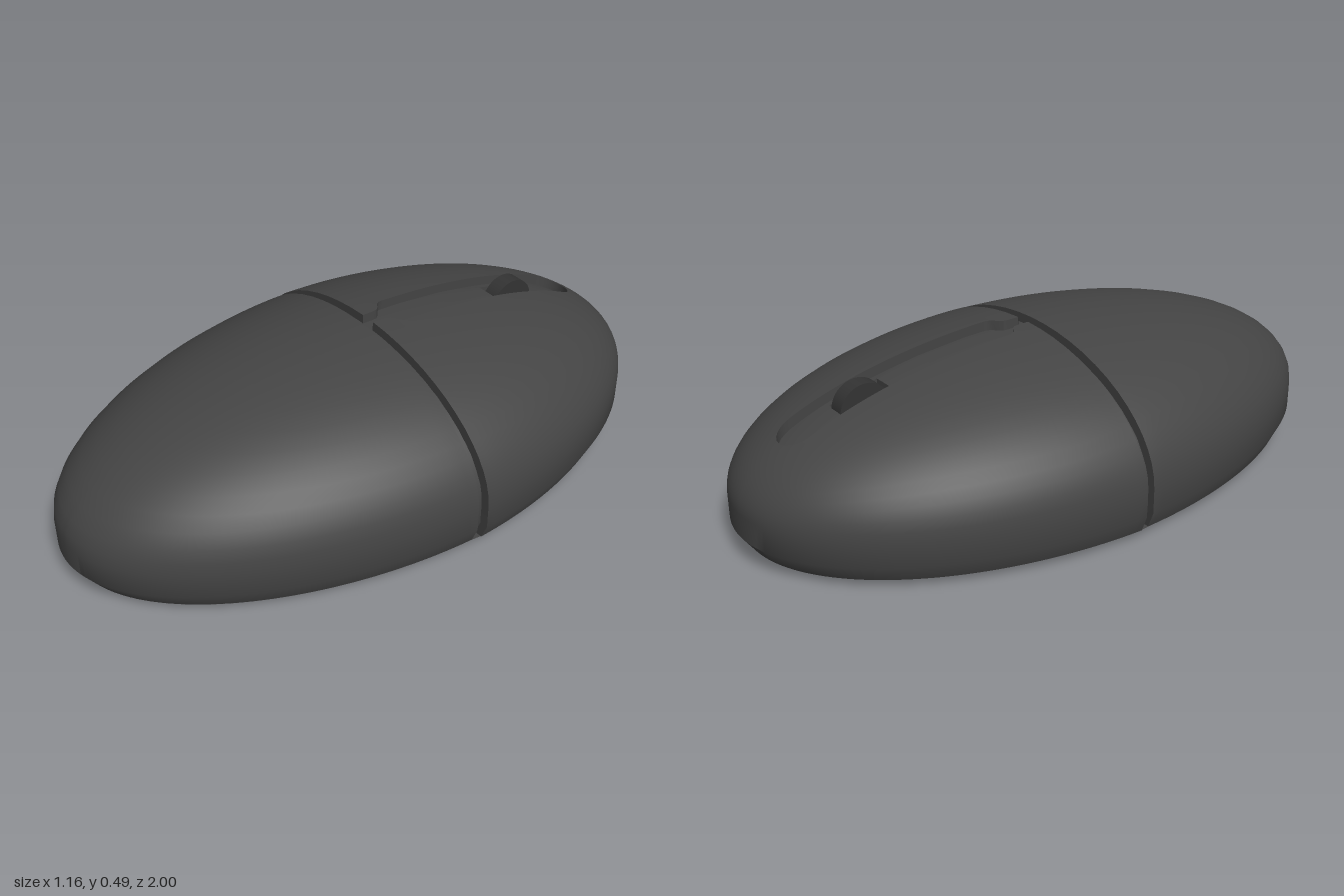
import * as THREE from 'three';
import { toCreasedNormals } from 'three/addons/utils/BufferGeometryUtils.js';

const N = 49;            // columns per half
const ROWS = 14;         // rows from inner edge to rim
const REAR = -0.045, FRONT = -0.015; // the two sides of the cross groove

// Half width of the plan ellipse, and dome height at a plan point
const width = z => (z < -0.03 ? 0.582 : 0.575 - 0.05 * Math.max(z, 0));
const height = (x, z) => {
  const r = Math.hypot(x / width(z), z);
  return 0.15 + 0.343 * Math.sqrt(Math.max(0, 1 - r * r));
};

// Points along the right-hand rim, angle measured from the rear tip
function rim(a0, a1) {
  return Array.from({ length: N + 1 }, (_, j) => {
    const a = a0 + (a1 - a0) * j / N, z = -Math.cos(a);
    return new THREE.Vector2(width(z) * Math.sin(a), z);
  });
}

// Domed skin from an inner edge to the rim and down to the base, mirrored in x.
// drop: depth of the wall at the inner edge; wall: which end gets a groove wall.
function domeSkin(inner, outer, drop, wall) {
  const columns = inner.map((p, j) => {
    const o = outer[j];
    const col = [[p.x, height(p.x, p.y) - drop, p.y]];
    for (let i = 0; i <= ROWS; i++) {
      const t = Math.sin(i / ROWS * Math.PI / 2);
      const x = p.x + (o.x - p.x) * t, z = p.y + (o.y - p.y) * t;
      col.push([x, i === ROWS ? 0.15 : height(x, z), z]);
    }
    for (const [s, y] of [[1, 0.075], [0.965, 0.025]]) col.push([o.x * s, y, o.y * s]);
    return col;
  });
  const inset = col => col.map(([x, y, z]) => [x * 0.94, y * 0.93, z]);
  if (wall === 'end') columns.push(inset(columns[N]));
  if (wall === 'start') columns.unshift(inset(columns[0]));

  const pos = [], index = [], n = columns[0].length;
  for (const side of [1, -1]) {
    const base = pos.length / 3;
    columns.flat().forEach(([x, y, z]) => pos.push(x * side, y, z));
    for (let j = 0; j < columns.length - 1; j++) {
      for (let i = 0; i < n - 1; i++) {
        const a = base + j * n + i, b = a + 1, c = a + n, d = c + 1;
        if (side > 0) index.push(a, c, b, b, c, d);
        else index.push(a, b, c, b, d, c);
      }
    }
  }
  const g = new THREE.BufferGeometry();
  g.setAttribute('position', new THREE.Float32BufferAttribute(pos, 3));
  g.setIndex(index);
  return toCreasedNormals(g, 0.6);
}

export function createModel() {
  const group = new THREE.Group();
  const bodyMat = new THREE.MeshStandardMaterial({ color: 0x444444 });
  const wheelMat = new THREE.MeshStandardMaterial({ color: 0x333333 });
  const add = (name, geometry, material = bodyMat) => {
    const mesh = new THREE.Mesh(geometry, material);
    mesh.name = name;
    group.add(mesh);
    return mesh;
  };

  // Button cover with a rounded slot that narrows into the groove
  const slot = new THREE.Path();
  slot.moveTo(0, -0.866);
  slot.absarc(0, -0.8, 0.066, -Math.PI / 2, 0, false);
  slot.lineTo(0.066, -0.14);
  slot.bezierCurveTo(0.066, -0.11, 0.025, -0.12, 0.025, -0.085);
  slot.lineTo(0.025, REAR);
  add('buttonCover', domeSkin(slot.getSpacedPoints(N), rim(0, Math.acos(-REAR)), 0.05, 'end'));

  // Palm cover
  const centre = Array.from({ length: N + 1 }, () => new THREE.Vector2(0, FRONT));
  add('palmCover', domeSkin(centre, rim(Math.acos(-FRONT), Math.PI), 0, 'start'));

  // Inner core, seen in the groove and slot, with a pocket for the wheel
  const sx = 0.95, sz = 0.97, px = 0.045 / sx, z0 = -0.685 / sz, z1 = -0.53 / sz;
  const pocket = new THREE.Path();
  pocket.moveTo(0, z0);
  pocket.lineTo(px, z0);
  pocket.lineTo(px, z1);
  pocket.lineTo(0, z1);
  add('innerCore', domeSkin(pocket.getSpacedPoints(N), rim(0, Math.PI), 0.12, ''))
    .scale.set(sx, 0.94, sz);
  add('pocketFloor', new THREE.BoxGeometry(0.1, 0.04, 0.17)).position.set(0, 0.285, -0.607);

  // Scroll wheel
  const wheel = new THREE.CylinderGeometry(0.08, 0.08, 0.052, 32).rotateZ(Math.PI / 2);
  add('scrollWheel', wheel, wheelMat).position.set(0, 0.36, -0.609);

  // Chamfered base
  const base = new THREE.CylinderGeometry(0.965, 0.89, 0.025, 96).translate(0, 0.0125, 0);
  const p = base.attributes.position;
  for (let i = 0; i < p.count; i++) p.setX(i, p.getX(i) * width(p.getZ(i)));
  add('base', toCreasedNormals(base, 0.5));

  return group;
}
